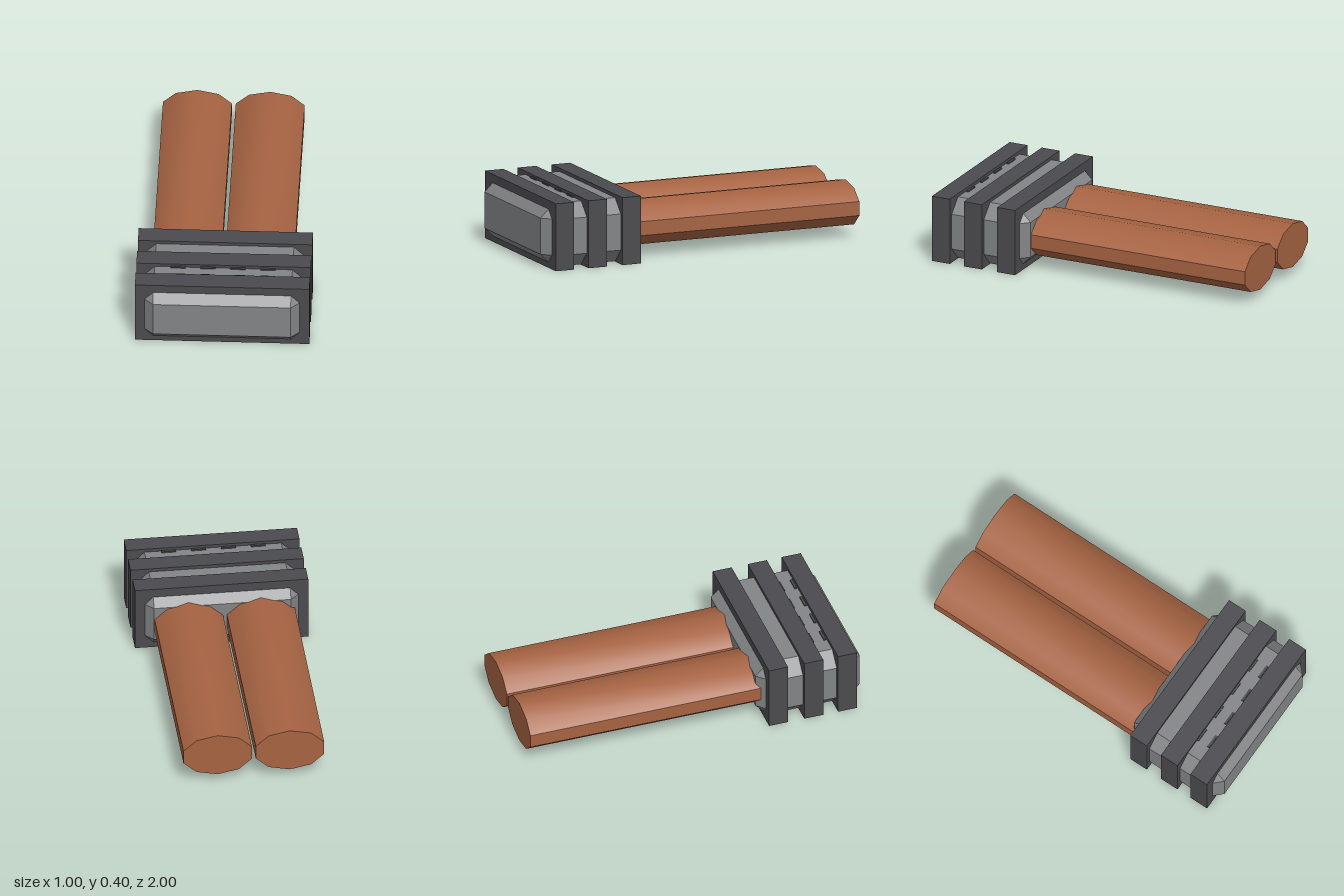
import * as THREE from 'three';
import { ConvexGeometry } from 'three/addons/geometries/ConvexGeometry.js';
import { toCreasedNormals } from 'three/addons/utils/BufferGeometryUtils.js';

export function createModel() {
  const model = new THREE.Group();
  model.name = 'twinHandledHammer';

  const material = (name, color) => {
    const m = new THREE.MeshStandardMaterial({ color });
    m.name = name;
    return m;
  };
  const stone = material('grey stone', 0x838486);
  const iron = material('dark iron', 0x4b4a4e);
  const wood = material('brown wood', 0xa66342);

  const add = (name, geometry, mat, x, y, z) => {
    const mesh = new THREE.Mesh(geometry, mat);
    mesh.name = name;
    mesh.position.set(x, y, z);
    model.add(mesh);
  };

  // Head block: every edge bevelled, with a small triangle at each corner
  const hx = 0.475, hy = 0.186, hz = 0.315, c = 0.08;
  const points = [];
  for (const sx of [-1, 1]) for (const sy of [-1, 1]) for (const sz of [-1, 1]) {
    points.push(
      new THREE.Vector3(sx * hx, sy * (hy - c), sz * (hz - c)),
      new THREE.Vector3(sx * (hx - c), sy * hy, sz * (hz - c)),
      new THREE.Vector3(sx * (hx - c), sy * (hy - c), sz * hz)
    );
  }
  add('headBlock', new ConvexGeometry(points), stone, 0, 0.189, 0.685);

  // Three iron bands around the head
  [0.475, 0.688, 0.893].forEach((z, i) => {
    add('band' + (i + 1), new THREE.BoxGeometry(1, 0.395, 0.115), iron, 0, 0.1975, z);
  });

  // Small iron tabs showing beside the bands on top
  for (const z of [0.75, 0.823]) {
    for (let i = 0; i < 4; i++) {
      add('bandTab', new THREE.BoxGeometry(0.085, 0.009, 0.014), iron, -0.26 + i * 0.172, 0.378, z);
    }
  }

  // Two flattened ten-sided handles, smooth above and below, sharp at the sides
  let handle = new THREE.CylinderGeometry(1, 1, 1.5, 10);
  handle.rotateX(Math.PI / 2);
  handle.scale(0.2077, 0.1325, 1);
  handle = toCreasedNormals(handle, Math.PI / 5);
  add('rightHandle', handle, wood, -0.2225, 0.178, -0.25);
  add('leftHandle', handle, wood, 0.195, 0.178, -0.25);

  return model;
}
